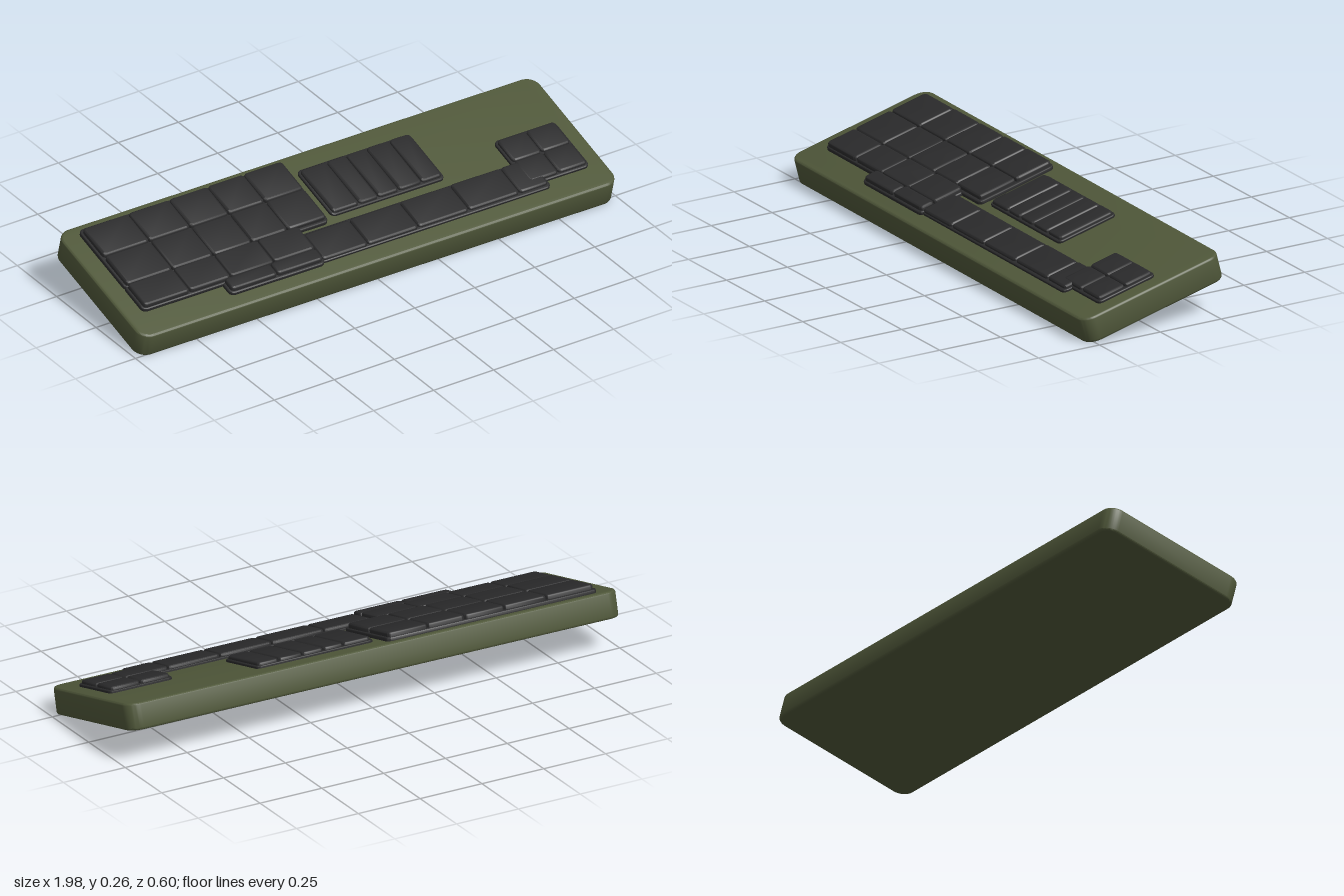
import * as THREE from 'three';
import { toCreasedNormals } from 'three/addons/utils/BufferGeometryUtils.js';

const WIDTH = 1.975, DEPTH = 0.58, THICK = 0.097, TILT = 0.256, YAW = -0.011;

// Slab lying on y = 0 with rounded corners and bevelled edges
function slab(w, d, h, radius, bevel, segments = 3) {
  const x = w / 2, y = d / 2, r = radius;
  const s = new THREE.Shape();
  s.moveTo(-x + r, -y);
  s.lineTo(x - r, -y);
  s.absarc(x - r, -y + r, r, -Math.PI / 2, 0);
  s.absarc(x - r, y - r, r, 0, Math.PI / 2);
  s.absarc(-x + r, y - r, r, Math.PI / 2, Math.PI);
  s.absarc(-x + r, -y + r, r, Math.PI, Math.PI * 1.5);
  const g = new THREE.ExtrudeGeometry(s, {
    depth: h - 2 * bevel, bevelEnabled: true, bevelThickness: bevel, bevelSize: bevel,
    bevelOffset: -bevel, bevelSegments: segments, curveSegments: 5,
  });
  g.translate(0, 0, bevel);
  g.rotateX(-Math.PI / 2);
  return toCreasedNormals(g, 0.7);
}

export function createModel() {
  const olive = new THREE.MeshStandardMaterial({ color: 0x50583a });
  olive.name = 'olive case';
  const black = new THREE.MeshStandardMaterial({ color: 0x2b2b2c });
  black.name = 'charcoal keys';

  const model = new THREE.Group();
  model.name = 'keyboard';
  const body = new THREE.Group();
  body.name = 'tiltedBody';
  body.rotation.set(TILT, YAW, 0, 'YXZ');
  body.position.y = 0.122;
  model.add(body);

  const caseMesh = new THREE.Mesh(slab(WIDTH, DEPTH, THICK, 0.05, 0.008), olive);
  caseMesh.name = 'case';
  caseMesh.position.y = -THICK / 2;
  body.add(caseMesh);

  // Block of keys: column edges xs, row edges zs (as seen from above), height
  const blocks = [
    { name: 'mainKeys', xs: [-0.91, -0.72, -0.55, -0.39, -0.24, -0.08], zs: [-0.23, -0.085, 0.063], h: 0.031 },
    { name: 'lowerKeys', xs: [-0.91, -0.72, -0.55, -0.37, -0.2], zs: [0.06, 0.178], h: 0.03 },
    { name: 'frontKeys', xs: [-0.58, -0.39, -0.2], zs: [0.174, 0.232], h: 0.028 },
    { name: 'longRow', xs: [-0.2, -0.01, 0.2, 0.41, 0.62, 0.74], zs: [0.098, 0.229], h: 0.021 },
    { name: 'middleKeys', xs: [-0.04, 0.07, 0.15, 0.235, 0.33, 0.415], zs: [-0.173, 0.048], h: 0.021 },
    { name: 'cornerKeys', xs: [0.68, 0.8, 0.92], zs: [-0.018, 0.092, 0.2], h: 0.022 },
  ];
  for (const { name, xs, zs, h } of blocks) {
    const group = new THREE.Group();
    group.name = name;
    group.position.y = THICK / 2;
    body.add(group);
    const zLocal = z => (z - 0.018) / Math.cos(TILT);
    const place = (partName, x0, x1, z0, z1, height, grow, radius, bevel) => {
      const a = zLocal(z0), b = zLocal(z1);
      const m = new THREE.Mesh(
        slab(x1 - x0 + grow, b - a + grow, height + 0.004, radius, bevel), black);
      m.name = partName;
      const cx = (x0 + x1) / 2;
      m.position.set(cx, -0.004, (a + b) / 2 - 0.01 * cx);
      group.add(m);
    };
    // Skirt under the block, then one cap per cell
    place('skirt', xs[0], xs.at(-1), zs[0], zs.at(-1), h * 0.45, 0.014, 0.02, 0.004);
    for (let i = 0; i < xs.length - 1; i++) {
      for (let j = 0; j < zs.length - 1; j++) {
        place('keycap', xs[i], xs[i + 1], zs[j], zs[j + 1], h, -0.002, 0.014, 0.008);
      }
    }
  }
  return model;
}
